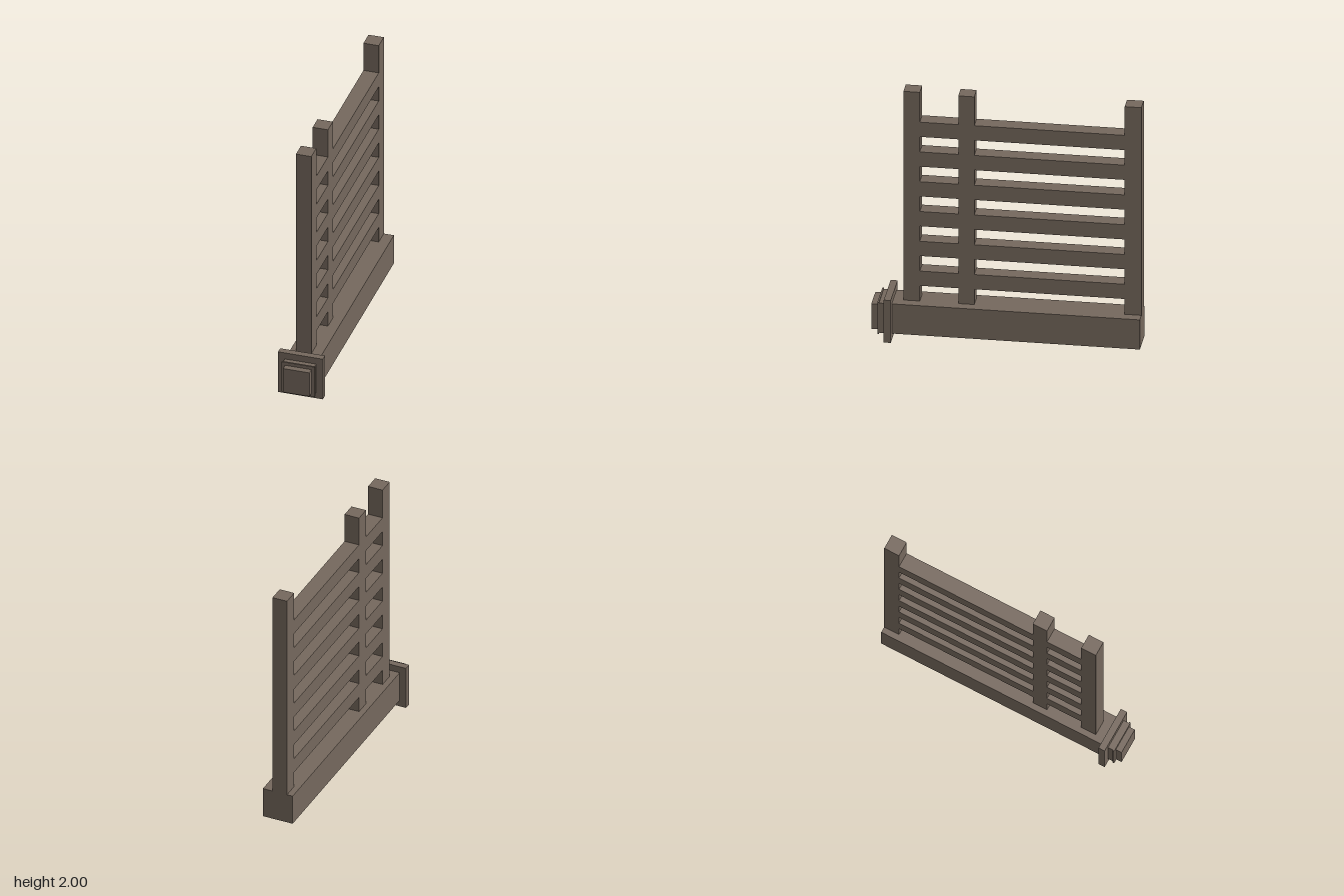
import * as THREE from 'three';

export function createModel() {
  const model = new THREE.Group();
  const wood = new THREE.MeshStandardMaterial({ color: 0x75685d, flatShading: true });

  // Box given by its limits on each axis
  function block(name, [x0, x1], [y0, y1], [z0, z1], parent = model) {
    const mesh = new THREE.Mesh(new THREE.BoxGeometry(x1 - x0, y1 - y0, z1 - z0), wood);
    mesh.position.set((x0 + x1) / 2, (y0 + y1) / 2, (z0 + z1) / 2);
    mesh.name = name;
    parent.add(mesh);
  }

  // Square section centred on the beam axis
  const axisY = 0.175;
  function squareBlock(name, half, z) {
    block(name, [-half, half], [axisY - half, axisY + half], z);
  }

  // Base beam with its stepped end cap
  squareBlock('baseBeam', 0.121, [-1, 0.94]);
  squareBlock('collar', 0.173, [0.845, 0.897]);
  squareBlock('endTrim', 0.128, [0.94, 0.952]);
  squareBlock('endCap', 0.102, [0.952, 1]);

  // Upright posts, set slightly off the beam's centre line
  const thickness = [-0.075, 0.043];
  const posts = new THREE.Group();
  posts.name = 'posts';
  model.add(posts);
  block('frontPost', thickness, [0.29, 2], [0.648, 0.77], posts);
  block('middlePost', thickness, [0.29, 1.992], [0.243, 0.362], posts);
  block('backPost', thickness, [0.29, 1.992], [-1, -0.876], posts);

  // Six rails, each in two spans flush with the posts
  const rails = new THREE.Group();
  rails.name = 'rails';
  model.add(rails);
  for (let i = 0; i < 6; i++) {
    const y = 0.421 + i * 0.2432;
    block('shortRail', thickness, [y, y + 0.12], [0.362, 0.648], rails);
    block('longRail', thickness, [y, y + 0.12], [-0.876, 0.243], rails);
  }

  return model;
}
